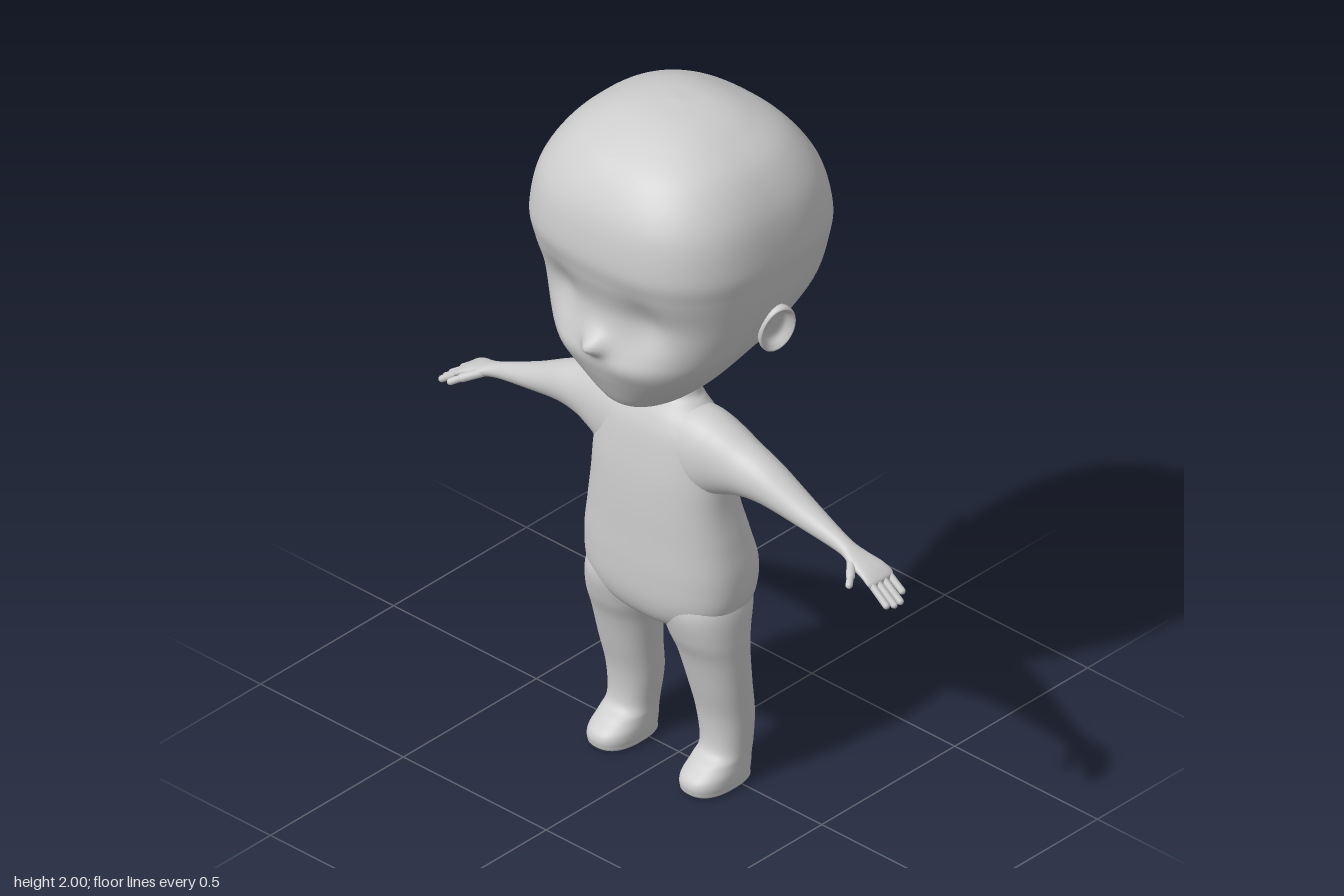
import * as THREE from 'three';

// Catmull-Rom value of component k at segment i, fraction t
function spline(rows, i, t, k) {
  const p = j => rows[Math.min(Math.max(j, 0), rows.length - 1)][k];
  const [a, b, c, d] = [p(i - 1), p(i), p(i + 1), p(i + 2)];
  return b + 0.5 * t * (c - a + t * (2 * a - 5 * b + 4 * c - d + t * (3 * (b - c) + d - a)));
}

// Smooth skin through rings [along, centre, half width, front z, back z, squareness].
// Rings stack upwards, or out along +x when sideways is true.
function loft(rows, { segs = 48, steps = 8, sideways = false, shape = null } = {}) {
  const pos = [], index = [];
  const rings = (rows.length - 1) * steps + 1;
  for (let r = 0; r < rings; r++) {
    const i = Math.min(Math.floor(r / steps), rows.length - 2), t = r / steps - i;
    const [along, centre, half, front, back, n] = [0, 1, 2, 3, 4, 5].map(k => spline(rows, i, t, k));
    for (let j = 0; j < segs; j++) {
      const a = (j / segs) * Math.PI * 2, c = Math.cos(a), s = Math.sin(a);
      const k = 1 / Math.pow(Math.abs(c) ** n + Math.abs(s) ** n, 1 / n);
      const across = centre + half * c * k;
      const z = (front + back) / 2 + ((front - back) / 2) * s * k;
      const p = sideways ? [along, across, z] : [across, along, z];
      if (shape) p[2] = shape(...p);
      pos.push(...p);
      if (r < rings - 1) {
        const j2 = (j + 1) % segs;
        const A = r * segs + j, B = r * segs + j2, C = B + segs, D = A + segs;
        if (sideways) index.push(A, B, D, B, C, D);
        else index.push(A, D, B, B, D, C);
      }
    }
  }
  const g = new THREE.BufferGeometry();
  g.setAttribute('position', new THREE.Float32BufferAttribute(pos, 3));
  g.setIndex(index);
  g.computeVertexNormals();
  return g;
}

// Copy reflected across x = 0
function mirror(geo) {
  const g = geo.clone().scale(-1, 1, 1), ix = g.index.array;
  for (let i = 0; i < ix.length; i += 3) [ix[i], ix[i + 1]] = [ix[i + 1], ix[i]];
  return g;
}

// Rounded rod between two points
function rod(a, b, radius) {
  const A = new THREE.Vector3(...a), B = new THREE.Vector3(...b), dir = B.clone().sub(A);
  const g = new THREE.CapsuleGeometry(radius, dir.length(), 6, 14);
  g.applyQuaternion(new THREE.Quaternion().setFromUnitVectors(new THREE.Vector3(0, 1, 0), dir.normalize()));
  const m = A.add(B).multiplyScalar(0.5);
  return g.translate(m.x, m.y, m.z);
}

// Eye sockets, cheeks and a small upturned nose
function face(x, y, z) {
  const w = THREE.MathUtils.smoothstep(z, 0.1, 0.22);
  const bump = (cx, cy, sx, sy) => Math.exp(-(((Math.abs(x) - cx) / sx) ** 2) - ((y - cy) / sy) ** 2);
  const nose = bump(0, 1.4, 0.034, y > 1.4 ? 0.035 : 0.025);
  return z + w * (0.045 * nose - 0.024 * bump(0.14, 1.49, 0.06, 0.085) + 0.008 * bump(0.11, 1.35, 0.07, 0.05));
}

export function createModel() {
  const model = new THREE.Group();
  const grey = new THREE.MeshStandardMaterial({ color: 0xcccccc });
  grey.name = 'plain grey';
  const add = (name, geo) => {
    const m = new THREE.Mesh(geo, grey);
    m.name = name;
    model.add(m);
  };
  const addPair = (name, geo) => {
    add('left' + name, geo);
    add('right' + name, mirror(geo));
  };

  // Head
  add('head', loft([
    [1.18, 0, 0.001, 0.171, 0.17, 2.2],
    [1.183, 0, 0.075, 0.228, 0.06, 2.2],
    [1.2, 0, 0.122, 0.248, -0.02, 2.2],
    [1.25, 0, 0.18, 0.276, -0.06, 2.2],
    [1.3, 0, 0.225, 0.3, -0.1, 2.25],
    [1.35, 0, 0.261, 0.316, -0.16, 2.35],
    [1.4, 0, 0.291, 0.312, -0.225, 2.5],
    [1.5, 0, 0.331, 0.298, -0.31, 2.75],
    [1.6, 0, 0.35, 0.326, -0.348, 2.8],
    [1.68, 0, 0.356, 0.341, -0.356, 2.8],
    [1.8, 0, 0.333, 0.322, -0.328, 2.7],
    [1.9, 0, 0.272, 0.258, -0.26, 2.5],
    [1.96, 0, 0.185, 0.17, -0.17, 2.4],
    [1.99, 0, 0.1, 0.09, -0.09, 2.3],
    [2.0, 0, 0.001, 0.001, -0.001, 2.2],
  ], { segs: 160, shape: face }));

  // Ears: shallow oval bowls, open outwards and a little forwards
  const bowl = [[0, -0.03], [0.55, -0.022], [0.85, -0.005], [0.98, 0.012], [1, 0.022], [0.93, 0.028],
    [0.8, 0.02], [0.6, 0.006], [0.3, 0.002], [0, 0.002]].map(p => new THREE.Vector2(...p));
  const ear = new THREE.LatheGeometry(new THREE.SplineCurve(bowl).getPoints(36), 40);
  ear.scale(0.08, 1, 0.052).rotateZ(-Math.PI / 2 - 0.26).rotateY(-0.3).translate(0.31, 1.44, -0.022);
  addPair('Ear', ear);

  // Torso and neck
  add('torso', loft([
    [0.455, 0, 0.001, 0.05, 0.049, 2.3],
    [0.462, 0, 0.08, 0.1, -0.02, 2.3],
    [0.5, 0, 0.19, 0.148, -0.068, 2.5],
    [0.56, 0, 0.24, 0.172, -0.106, 2.6],
    [0.65, 0, 0.25, 0.178, -0.123, 2.6],
    [0.75, 0, 0.237, 0.177, -0.101, 2.5],
    [0.85, 0, 0.219, 0.175, -0.074, 2.5],
    [0.95, 0, 0.21, 0.168, -0.06, 2.5],
    [1.05, 0, 0.195, 0.153, -0.05, 2.4],
    [1.1, 0, 0.165, 0.136, -0.037, 2.3],
    [1.14, 0, 0.12, 0.114, -0.027, 2.1],
    [1.17, 0, 0.1, 0.1, -0.026, 2],
    [1.25, 0, 0.1, 0.1, -0.04, 2],
  ], { segs: 64 }));

  // Legs with feet
  addPair('Leg', loft([
    [0, 0.162, 0.001, 0.041, 0.04, 2.4],
    [0, 0.162, 0.058, 0.125, -0.056, 2.5],
    [0.018, 0.162, 0.066, 0.142, -0.063, 2.5],
    [0.045, 0.162, 0.067, 0.137, -0.067, 2.5],
    [0.075, 0.162, 0.065, 0.1, -0.069, 2.4],
    [0.11, 0.162, 0.066, 0.062, -0.071, 2.3],
    [0.2, 0.158, 0.077, 0.062, -0.072, 2.3],
    [0.3, 0.156, 0.087, 0.086, -0.058, 2.3],
    [0.4, 0.15, 0.097, 0.113, -0.052, 2.3],
    [0.47, 0.142, 0.106, 0.14, -0.06, 2.3],
    [0.55, 0.13, 0.112, 0.156, -0.082, 2.3],
    [0.62, 0.118, 0.1, 0.14, -0.075, 2.3],
  ]));

  // Arms with palms
  addPair('Arm', loft([
    [0.05, 1.02, 0.115, 0.14, -0.04, 2.2],
    [0.15, 1.013, 0.123, 0.14, -0.042, 2.2],
    [0.22, 1.016, 0.1, 0.125, -0.035, 2.1],
    [0.28, 1.012, 0.078, 0.11, -0.028, 2],
    [0.36, 0.998, 0.06, 0.095, -0.02, 2],
    [0.48, 0.953, 0.038, 0.07, -0.012, 2],
    [0.6, 0.913, 0.023, 0.05, 0, 2],
    [0.65, 0.896, 0.017, 0.06, -0.008, 2.2],
    [0.7, 0.878, 0.014, 0.066, -0.022, 2.5],
    [0.73, 0.86, 0.011, 0.064, -0.022, 2.6],
    [0.735, 0.857, 0.001, 0.022, 0.021, 2.5],
  ], { segs: 40, sideways: true }));

  // Fingers and thumbs
  for (const [side, s] of [['left', 1], ['right', -1]]) {
    [[-0.014, 0.768], [0.011, 0.785], [0.034, 0.785], [0.056, 0.778]].forEach(([z, tip], i) => {
      const drop = 0.87 - (tip - 0.71) * 0.72;
      add(`${side}Finger${i + 1}`, rod([s * 0.71, 0.87, z * 0.95], [s * tip, drop, z], 0.0095));
    });
    add(side + 'Thumb', rod([s * 0.645, 0.895, 0.045], [s * 0.68, 0.882, 0.085], 0.012));
    add(side + 'ThumbTip', rod([s * 0.68, 0.882, 0.085], [s * 0.698, 0.874, 0.11], 0.0095));
  }
  return model;
}
